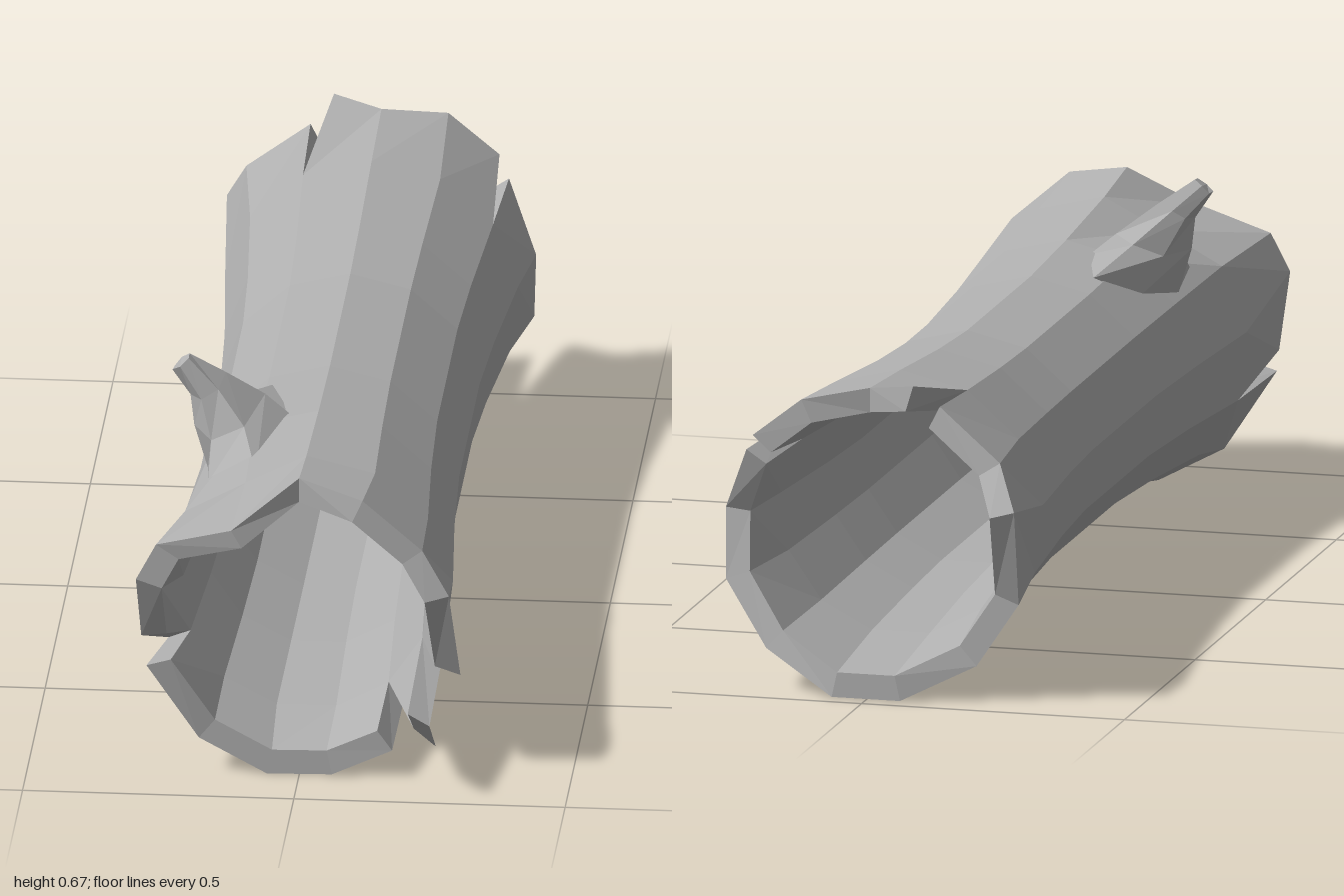
import * as THREE from 'three';

const SIDES = 13, CY = 0.298;

// Rings along the trunk: z and outer radius
const RINGS = [[0.72, 0.272], [0.45, 0.252], [0.2, 0.24], [-0.25, 0.24], [-0.45, 0.25], [-0.72, 0.272]];

// Ragged end rims, clockwise from the top. A split edge has two points: [end of last plank, start of next]
const FRONT = [
  [0, 0.59, 0.88], [0.12, 0.565, 0.92], [0.23, 0.47, 0.92], [0.28, 0.385, 0.93],
  [[0.295, 0.2, 0.855], [0.25, 0.155, 1]], [[0.255, 0.083, 0.92], [0.172, 0.06, 0.89]],
  [0.06, 0.005, 0.88], [-0.06, 0.003, 0.88], [-0.185, 0.07, 0.88],
  [[-0.28, 0.218, 0.9], [-0.292, 0.265, 0.87]], [-0.297, 0.4, 0.93], [-0.26, 0.47, 0.93], [-0.12, 0.51, 0.95],
];
const BACK = [
  [0, 0.585, -0.94], [0.12, 0.565, -0.98], [[0.215, 0.49, -0.97], [0.235, 0.455, -0.94]],
  [0.29, 0.33, -0.88], [0.285, 0.2, -0.9], [0.2, 0.08, -0.93], [0.065, 0.005, -0.97],
  [-0.065, 0.005, -0.97], [-0.2, 0.07, -0.93], [-0.28, 0.19, -0.93], [-0.29, 0.38, -1],
  [-0.25, 0.46, -0.95], [[-0.13, 0.555, -0.93], [-0.09, 0.6, -0.97]],
];

const isSplit = (e) => Array.isArray(e[0]);
const rimPoint = (rim, i, start) => {
  const e = rim[i % SIDES];
  return isSplit(e) ? e[start ? 1 : 0] : e;
};
const inward = ([x, y, z]) => [x * 0.84, CY + (y - CY) * 0.84, z];

function ringPoint(i, [z, r]) {
  const k = i % SIDES, a = (k / SIDES) * Math.PI * 2;
  // hollow channel running from the branch to the front rim
  if (k === 12 && z > 0.5) r -= 0.03;
  return [Math.sin(a) * r, CY + Math.cos(a) * r, z];
}

function meshFromQuads(name, quads, material) {
  const pos = [];
  for (const [a, b, c, d] of quads) pos.push(...a, ...b, ...c, ...a, ...c, ...d);
  const g = new THREE.BufferGeometry();
  g.setAttribute('position', new THREE.Float32BufferAttribute(pos, 3));
  g.computeVertexNormals();
  const mesh = new THREE.Mesh(g, material);
  mesh.name = name;
  return mesh;
}

// Hollow trunk made of long planks from rim to rim
function makeTrunk(material) {
  const outer = [], inner = [], rims = [];
  for (let i = 0; i < SIDES; i++) {
    const edge = (k, start) => [
      rimPoint(FRONT, k, start), ...RINGS.map((r) => ringPoint(k, r)), rimPoint(BACK, k, start),
    ];
    const L = edge(i, true), R = edge(i + 1, false);
    const l = L.map(inward), r = R.map(inward), n = L.length - 1;
    for (let j = 0; j < n; j++) {
      outer.push([L[j], R[j], R[j + 1], L[j + 1]]);
      inner.push([l[j + 1], r[j + 1], r[j], l[j]]);
    }
    // broken end faces
    rims.push([L[0], l[0], r[0], R[0]], [R[n], r[n], l[n], L[n]]);
    // walls of the cracks
    for (const [rim, a, b] of [[FRONT, 0, 1], [BACK, n - 1, n]]) {
      if (isSplit(rim[i])) rims.push([L[a], L[b], l[b], l[a]]);
      if (isSplit(rim[(i + 1) % SIDES])) rims.push([R[a], r[a], r[b], R[b]]);
    }
  }
  return [
    meshFromQuads('trunkOutside', outer, material),
    meshFromQuads('trunkInside', inner, material),
    meshFromQuads('brokenEnds', rims, material),
  ];
}

// Broken branch stub: cross-sections from root to tip
function makeBranch(material) {
  const sections = [
    [[-0.1, 0.525, 0.27], [-0.05, 0.53, 0.43], [-0.1, 0.5, 0.64], [-0.19, 0.47, 0.62], [-0.2, 0.45, 0.5], [-0.16, 0.47, 0.37]],
    [[-0.14, 0.56, 0.4], [-0.1, 0.572, 0.43], [-0.13, 0.55, 0.54], [-0.19, 0.525, 0.55], [-0.225, 0.535, 0.5], [-0.19, 0.535, 0.43]],
    [[-0.2, 0.615, 0.455], [-0.17, 0.625, 0.46], [-0.18, 0.61, 0.51], [-0.21, 0.595, 0.525], [-0.232, 0.595, 0.5], [-0.222, 0.6, 0.465]],
    [[-0.25, 0.66, 0.48], [-0.235, 0.67, 0.485], [-0.235, 0.668, 0.505], [-0.25, 0.655, 0.515], [-0.265, 0.645, 0.505], [-0.262, 0.645, 0.485]],
  ];
  const quads = [];
  for (let s = 0; s < 3; s++) {
    for (let i = 0; i < 6; i++) {
      const j = (i + 1) % 6, a = sections[s], b = sections[s + 1];
      quads.push([a[j], a[i], b[i], b[j]]);
    }
  }
  const t = sections[3];
  quads.push([t[3], t[2], t[1], t[0]], [t[5], t[4], t[3], t[0]]);
  return meshFromQuads('branchStub', quads, material);
}

export function createModel() {
  const wood = new THREE.MeshStandardMaterial({ color: 0xb0b0b0, flatShading: true, side: THREE.DoubleSide });
  wood.name = 'greyWood';
  const log = new THREE.Group();
  log.name = 'hollowLog';
  log.add(...makeTrunk(wood), makeBranch(wood));
  return log;
}
